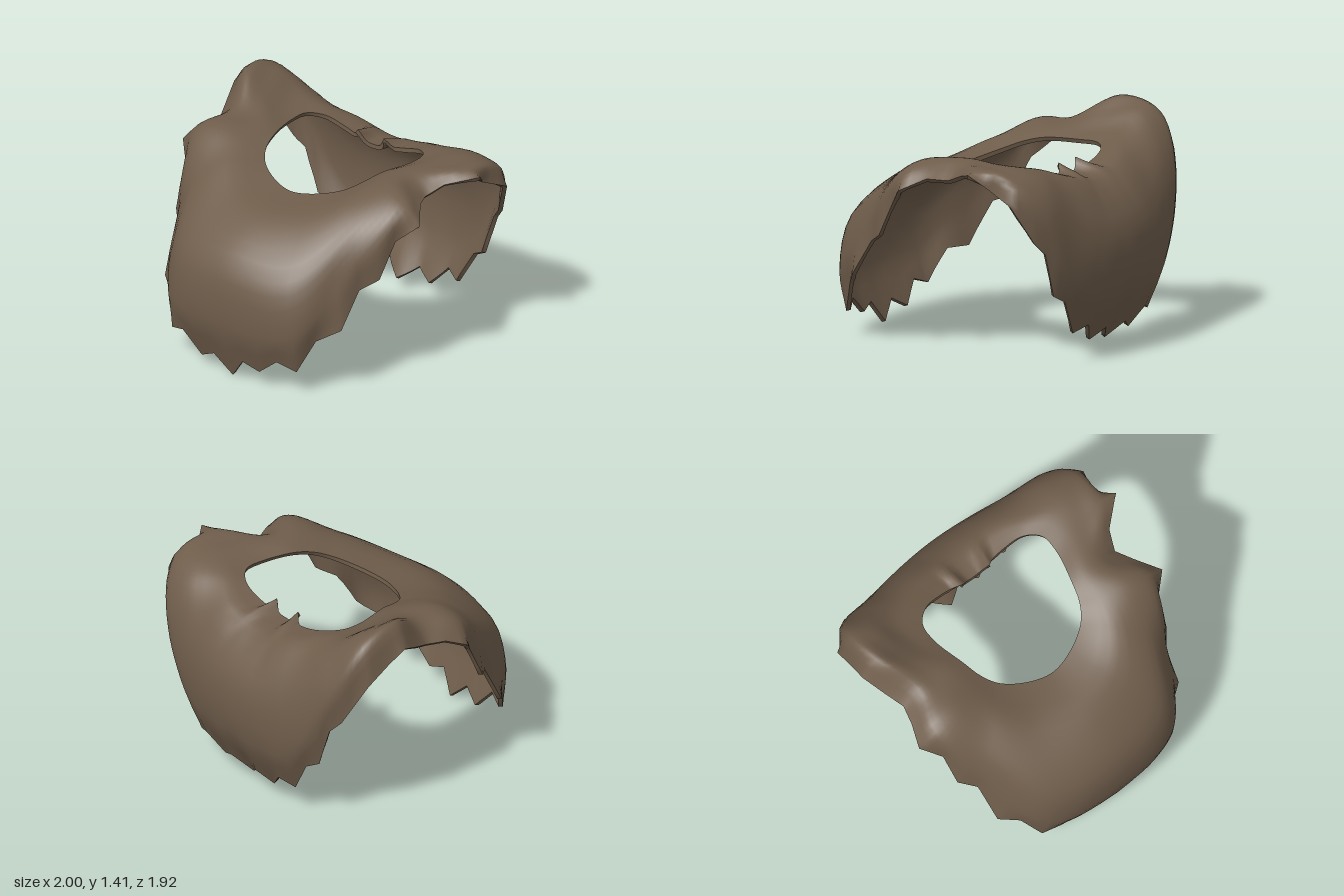
import * as THREE from 'three';

const V = (x, y, z) => new THREE.Vector3(x, y, z);

// Ragged hem, front centre round the left shoulder to back centre
const HEM = [
  [0, 0, .85], [.11, .14, .89], [.23, .1, .87], [.37, .21, .87], [.49, .16, .82], [.58, .37, .74],
  [.71, .45, .65], [.73, .68, .5], [.81, .74, .4], [.84, .97, .28], [.95, 1.07, .18], [.84, 1.14, .04],
  [.78, 1.13, -.08], [.83, 1.18, -.2], [1, 1.23, -.35], [.92, 1.13, -.46], [.97, 1.05, -.64], [.85, .81, -.74],
  [.78, .73, -.78], [.68, .45, -.78], [.59, .4, -.81], [.46, .18, -.79], [.35, .22, -.84], [.24, .1, -.78],
  [.12, .16, -.83], [0, .07, -.75],
];
// The right side is torn differently from front centre to behind the shoulder
const RIGHT_HEM = [
  [-.13, .12, .88], [-.26, .055, .84], [-.39, .2, .87], [-.51, .165, .83], [-.61, .375, .74],
  [-.72, .39, .65], [-.75, .68, .49], [-.84, .72, .4], [-.86, .96, .28], [-.97, 1.08, .18], [-.92, 1.14, .04],
  [-.89, 1.15, -.08], [-.94, 1.2, -.2], [-1, 1.27, -.35], [-.99, 1.2, -.47], [-.98, 1.09, -.63],
];
// Hem indices at which the guide loops below are given
const KEYS = [0, 4, 7, 10, 12, 14, 16, 18, 21, 25];
// Guide loops: neck rim, upper shoulder, outer shoulder, belly of the drape
const GUIDES = [
  [[0, 1.06, .29], [.17, 1.08, .25], [.32, 1.12, .16], [.39, 1.16, .06], [.43, 1.19, -.07],
    [.48, 1.19, -.29], [.47, 1.19, -.42], [.38, 1.17, -.5], [.24, 1.13, -.52], [0, 1.09, -.5]],
  [[0, 1.0, .62], [.3, 1.03, .54], [.48, 1.14, .33], [.53, 1.21, .13], [.53, 1.23, -.08],
    [.6, 1.23, -.31], [.62, 1.23, -.48], [.5, 1.2, -.58], [.32, 1.12, -.7], [0, 1.06, -.72]],
  [[0, .76, .9], [.43, .76, .82], [.63, 1.03, .46], [.69, 1.22, .17], [.63, 1.23, -.08],
    [.74, 1.24, -.33], [.78, 1.23, -.55], [.67, 1.15, -.72], [.42, .85, -.88], [0, .8, -.93]],
  [[0, .38, .955], [.49, .42, .87], [.71, .86, .51], [.84, 1.17, .19], [.71, 1.19, -.08],
    [.88, 1.25, -.35], [.91, 1.18, -.62], [.79, .98, -.8], [.49, .48, -.89], [0, .42, -.935]],
];
const HALF = HEM.length - 1, SUB = 3, STATIONS = HALF * 2 * SUB, ROWS = 16, THICK = 0.028;

// The right shoulder is puffed up into a broad ridge and reaches further out
function puffRight([x, y, z]) {
  const out = THREE.MathUtils.smoothstep(x, .55, .9);
  const ridge = 1 - THREE.MathUtils.smoothstep(Math.abs(z + .3), .27, .58);
  const reach = .14 * out * Math.exp(-(((z + .08) / .16) ** 2));
  return V(-x - reach, y + .16 * out * ridge, z);
}

// Half loop to full loop by mirroring in x
function fullLoop(half, mirror) {
  return [...half.map(p => V(...p)), ...half.slice(1, -1).map(mirror).reverse()];
}

// Hem index to parameter along a guide loop
function guideParam(h) {
  const m = h > HALF ? 2 * HALF - h : h;
  let k = 0;
  while (k < KEYS.length - 2 && KEYS[k + 1] < m) k++;
  const t = (k + (m - KEYS[k]) / (KEYS[k + 1] - KEYS[k])) / (2 * (KEYS.length - 1));
  return h > HALF ? 1 - t : t;
}

// Grid of points closed around the first direction
function gridGeometry(columns, flip) {
  const n = columns.length, m = columns[0].length, index = [];
  for (let i = 0; i < n; i++) {
    for (let j = 0; j < m - 1; j++) {
      const a = i * m + j, b = ((i + 1) % n) * m + j;
      if (flip) index.push(a, b, a + 1, b, b + 1, a + 1);
      else index.push(a, a + 1, b, b, a + 1, b + 1);
    }
  }
  const g = new THREE.BufferGeometry().setFromPoints(columns.flat());
  g.setIndex(index);
  g.computeVertexNormals();
  return g;
}

export function createModel() {
  const group = new THREE.Group();
  group.name = 'shoulderCape';
  const cloth = new THREE.MeshStandardMaterial({ color: 0x6f5d4b, side: THREE.DoubleSide });
  cloth.name = 'brown hide';

  const hem = fullLoop(HEM, ([x, y, z], i) => (RIGHT_HEM[i] ? V(...RIGHT_HEM[i]) : V(-x, y, z)));
  const curves = GUIDES.map(g => new THREE.CatmullRomCurve3(fullLoop(g, puffRight), true, 'centripetal'));

  // Cross-sections from the neck rim down to the hem
  const outer = [];
  for (let i = 0; i < STATIONS; i++) {
    const h = i / SUB, i0 = Math.floor(h);
    const edge = hem[i0].clone().lerp(hem[(i0 + 1) % hem.length], h - i0);
    const t = guideParam(h);
    const pts = curves.map(c => c.getPoint(t));
    // Two torn points on the back of the neck rim
    const m = h > HALF ? 2 * HALF - h : h;
    const spike = Math.max(0, 1 - Math.abs(m - 23.3) / .8);
    pts[0].y += .07 * spike;
    pts[0].z += .03 * spike;
    outer.push(new THREE.CatmullRomCurve3([...pts, edge], false, 'centripetal').getPoints(ROWS));
  }

  // Lining sits a little inside the outer face
  const outerGeo = gridGeometry(outer, false);
  const normals = outerGeo.attributes.normal;
  const inner = outer.map((col, i) => col.map((p, j) =>
    p.clone().addScaledVector(V(0, 0, 0).fromBufferAttribute(normals, i * (ROWS + 1) + j), -THICK)));

  const add = (name, geometry) => {
    const mesh = new THREE.Mesh(geometry, cloth);
    mesh.name = name;
    group.add(mesh);
  };
  add('outerCape', outerGeo);
  add('lining', gridGeometry(inner, true));
  add('neckEdge', gridGeometry(outer.map((c, i) => [c[0], inner[i][0]]), true));
  add('hemEdge', gridGeometry(outer.map((c, i) => [c[ROWS], inner[i][ROWS]]), false));
  return group;
}
